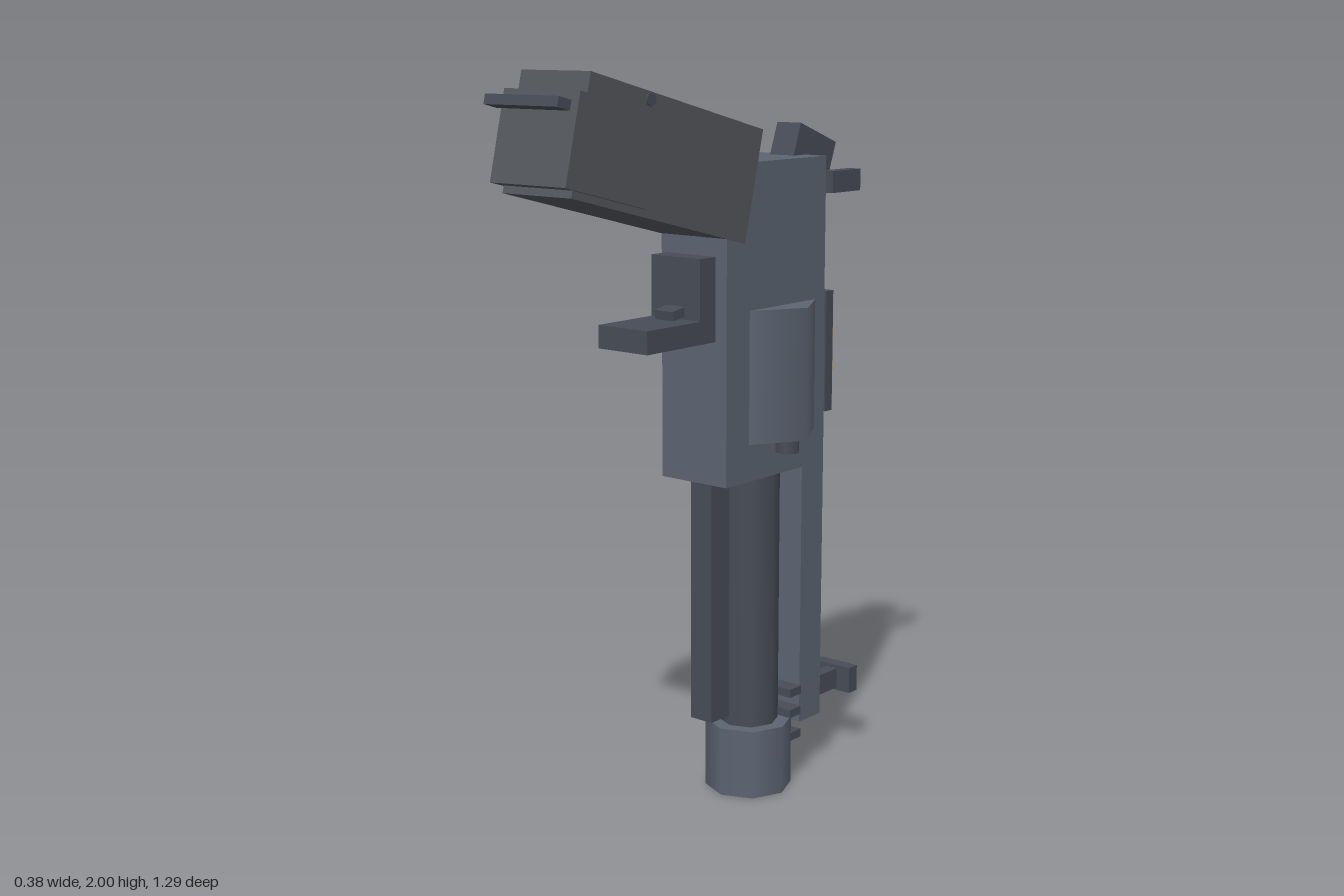
import * as THREE from 'three';

const material = (color) => new THREE.MeshStandardMaterial({ color });

export function createModel() {
  const model = new THREE.Group();
  const steel = material(0x5c6472);
  const dark = material(0x474c57);
  const gripGrey = material(0x54575c);
  const gold = material(0xc09340);

  const add = (name, geometry, mat, x, y, z, tilt = 0) => {
    const mesh = new THREE.Mesh(geometry, mat);
    mesh.name = name;
    mesh.position.set(x, y, z);
    mesh.rotation.x = tilt;
    model.add(mesh);
    return mesh;
  };

  // Box given by half width, y range and z range, centred on x
  const block = (name, mat, halfX, y0, y1, z0, z1, x = 0) =>
    add(name, new THREE.BoxGeometry(halfX * 2, y1 - y0, z1 - z0), mat, x, (y0 + y1) / 2, (z0 + z1) / 2);

  // Box leaning about the x axis
  const tilted = (name, mat, width, height, depth, y, z, tilt) =>
    add(name, new THREE.BoxGeometry(width, height, depth), mat, 0, y, z, tilt);

  // Upright smooth prism with corners on the x axis
  const column = (name, mat, radius, y0, y1, sides, x, z) => {
    const mesh = add(name, new THREE.CylinderGeometry(radius, radius, y1 - y0, sides), mat, x, (y0 + y1) / 2, z);
    mesh.rotation.y = Math.PI / 2;
    return mesh;
  };

  // Receiver with the six-sided drum bulging from both sides
  block('receiver', steel, 0.11, 0.92, 1.76, -0.393, 0.027);
  column('drum', steel, 0.192, 1.02, 1.377, 6, 0, -0.21);
  for (const side of [-1, 1]) column('drumKnob', dark, 0.034, 0.98, 1.06, 6, side * 0.128, -0.21);

  // Barrel, muzzle and rails
  column('barrel', dark, 0.083, 0.1, 0.95, 8, 0, -0.21);
  column('muzzle', steel, 0.121, 0, 0.195, 8, 0, -0.21);
  block('lowerRail', dark, 0.036, 0.245, 0.93, -0.078, -0.003);
  block('upperRail', steel, 0.06, 0.15, 1.24, -0.465, -0.367);
  for (const y of [0.267, 0.206, 0.138]) block('muzzleRib', dark, 0.095, y - 0.012, y + 0.012, -0.328, -0.278);

  // Front sight
  block('sightStem', dark, 0.018, 0.18, 0.24, -0.61, -0.46);
  block('sightPlate', dark, 0.064, 0.173, 0.25, -0.643, -0.605);

  // Gold plate in its dark frame
  block('goldPlate', gold, 0.044, 1.055, 1.36, -0.525, -0.465);
  block('plateFrame', dark, 0.053, 1.04, 1.38, -0.512, -0.48);

  // Hammer and rear sight ears
  tilted('hammer', dark, 0.08, 0.095, 0.17, 1.772, -0.435, -0.35);
  for (const side of [-1, 1]) block('rearSightEar', dark, 0.0195, 1.657, 1.716, -0.56, -0.432, side * 0.085);

  // Grip, its end cap, pin and end bar
  const lean = -0.243;
  tilted('grip', gripGrey, 0.226, 0.296, 0.66, 1.777, 0.241, lean);
  tilted('gripCap', gripGrey, 0.248, 0.225, 0.288, 1.814, 0.46, lean);
  tilted('gripEndBar', dark, 0.24, 0.025, 0.042, 1.93, 0.622, lean);
  const pin = add('gripPin', new THREE.CylinderGeometry(0.017, 0.017, 0.236, 8), dark, 0, 1.93, 0.32);
  pin.rotation.z = Math.PI / 2;

  // Trigger guard and trigger
  block('guardPlate', dark, 0.082, 1.305, 1.525, 0.038, 0.1);
  block('guardBar', dark, 0.082, 1.305, 1.365, 0.04, 0.302);
  block('triggerBase', dark, 0.03, 1.353, 1.41, 0.02, 0.05);
  tilted('trigger', dark, 0.062, 0.025, 0.115, 1.388, 0.088, 0.17);

  return model;
}
